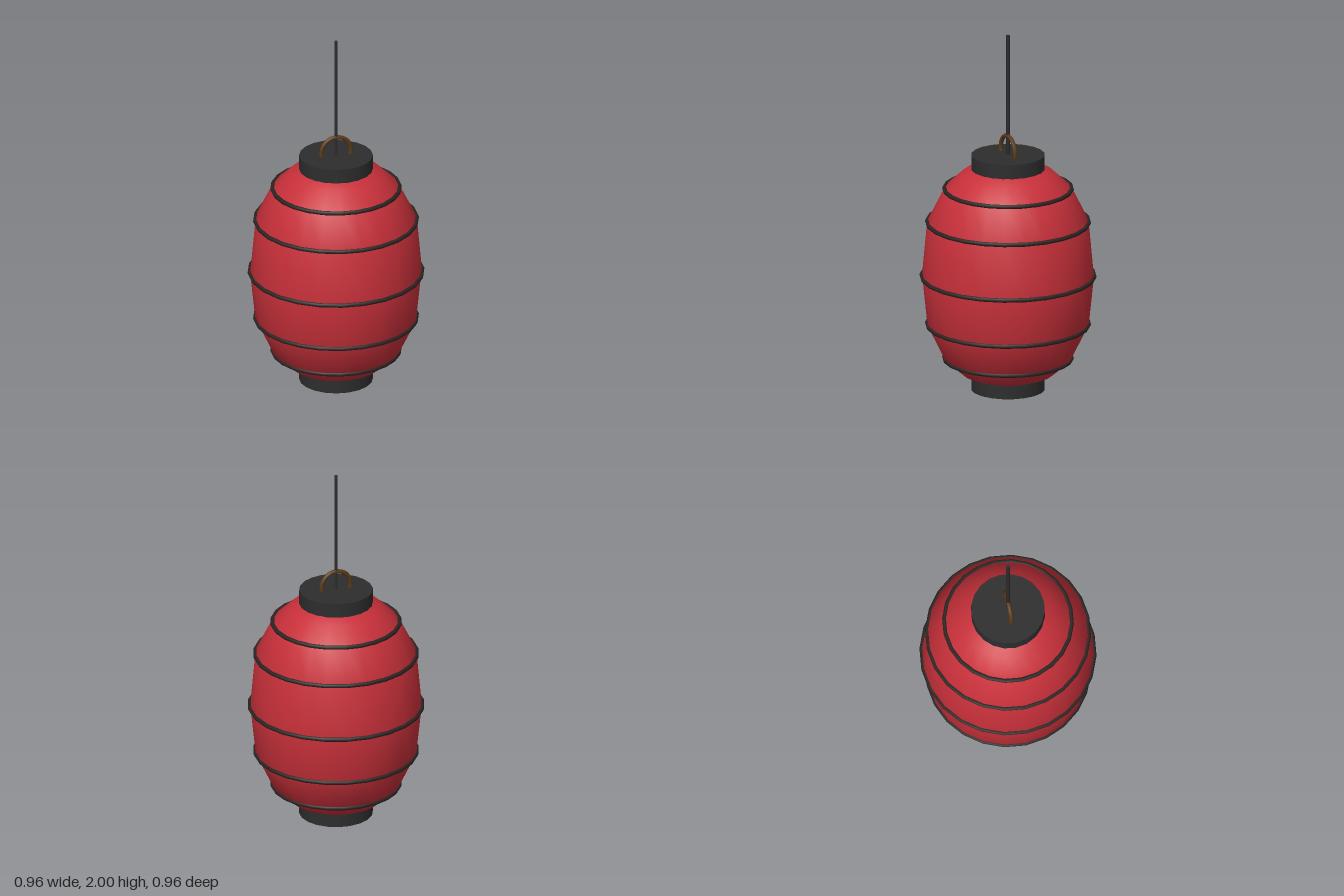
import * as THREE from 'three';

export function createModel() {
  const group = new THREE.Group();
  const material = (name, color) => {
    const m = new THREE.MeshStandardMaterial({ color });
    m.name = name;
    return m;
  };
  const red = material('red paper', 0xc8303a);
  const black = material('black lacquer', 0x2d2d2d);
  const rib = material('dark rib', 0x2c2422);
  const wood = material('brown handle', 0x5a3a1a);

  const add = (name, geometry, mat, y = 0) => {
    const mesh = new THREE.Mesh(geometry, mat);
    mesh.name = name;
    mesh.position.y = y;
    group.add(mesh);
    return mesh;
  };

  // Paper shade, profile from bottom to top
  const profile = [
    [0.19, 0.072], [0.25, 0.095], [0.345, 0.177], [0.438, 0.37], [0.466, 0.64],
    [0.438, 0.945], [0.345, 1.132], [0.25, 1.22], [0.19, 1.25],
  ].map(([r, y]) => new THREE.Vector2(r, y));
  add('paperShade', new THREE.LatheGeometry(profile, 24), red);

  // Horizontal ribs
  const ribs = [[0.345, 0.177], [0.438, 0.37], [0.468, 0.64], [0.438, 0.945], [0.345, 1.132]];
  ribs.forEach(([r, y], i) => {
    const ring = add('rib' + (i + 1), new THREE.TorusGeometry(r, 0.012, 8, 24), rib, y);
    ring.rotation.x = Math.PI / 2;
  });

  // End caps
  add('bottomCap', new THREE.CylinderGeometry(0.2, 0.2, 0.075, 20), black, 0.0375);
  add('topCap', new THREE.CylinderGeometry(0.2, 0.2, 0.08, 20), black, 1.285);

  // Arched handle, its ends sunk into the top cap
  const handle = add('handle', new THREE.TorusGeometry(0.085, 0.012, 8, 20, Math.PI * 1.24), wood, 1.345);
  handle.rotation.z = -Math.PI * 0.12;

  // Hanging cord
  add('cord', new THREE.CylinderGeometry(0.01, 0.01, 0.68, 8), black, 1.66);

  return group;
}
